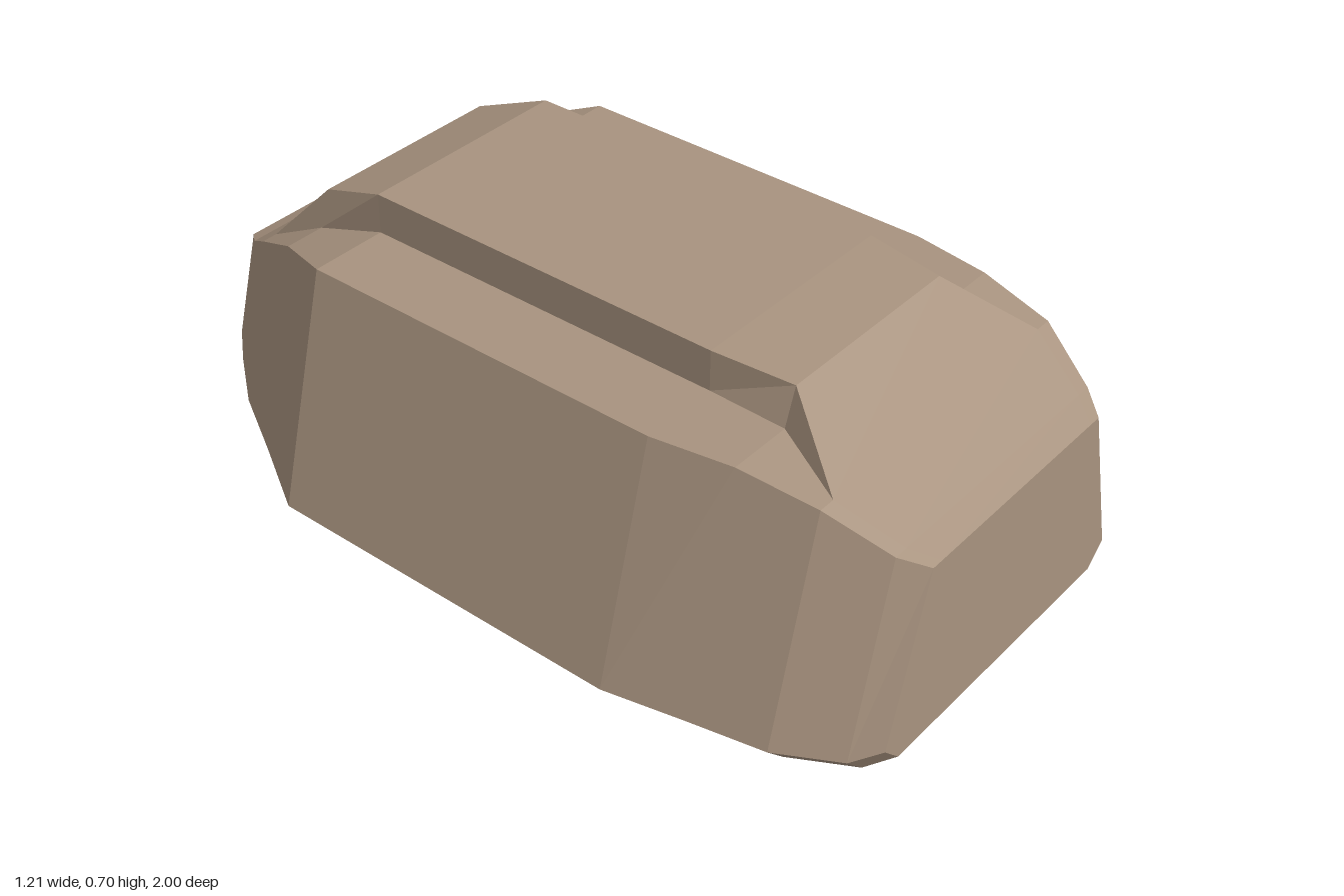
import * as THREE from 'three';

// Cross-sections from back to front, right half only:
// [z, floorX, floorY, sideX, sideY, shoulderX, deckY, spineBaseX, spineTopX, spineTopY]
const SECTIONS = [
  [-1.0, 0.19, 0.035, 0.24, 0.085, 0.17, 0.33, 0.12, 0.12, 0.33],
  [-0.945, 0.235, 0, 0.29, 0.055, 0.215, 0.355, 0.17, 0.17, 0.355],
  [-0.81, 0.34, 0, 0.395, 0.055, 0.30, 0.45, 0.26, 0.26, 0.45],
  [-0.635, 0.44, 0, 0.495, 0.055, 0.375, 0.545, 0.275, 0.245, 0.63],
  [-0.45, 0.55, 0, 0.605, 0.055, 0.46, 0.605, 0.27, 0.27, 0.70],
  [0.45, 0.55, 0, 0.605, 0.055, 0.46, 0.605, 0.27, 0.27, 0.70],
  [0.635, 0.51, 0, 0.565, 0.055, 0.43, 0.605, 0.275, 0.245, 0.69],
  [0.81, 0.475, 0, 0.53, 0.055, 0.40, 0.575, 0.36, 0.36, 0.575],
  [0.945, 0.40, 0, 0.455, 0.055, 0.345, 0.50, 0.31, 0.31, 0.50],
  [1.0, 0.36, 0.035, 0.41, 0.085, 0.30, 0.475, 0.27, 0.27, 0.475],
];

// Mirrors a half section into a closed ring, counter-clockwise seen from the front
function ring([z, fx, fy, sx, sy, hx, hy, bx, tx, ty]) {
  const half = [[fx, fy], [sx, sy], [hx, hy], [bx, hy], [tx, ty]];
  const mirrored = half.map(([x, y]) => [-x, y]).reverse();
  return [...half, ...mirrored].map(([x, y]) => [x, y, z]);
}

function loft(rings) {
  const n = rings[0].length;
  const index = [];
  for (let i = 0; i < rings.length - 1; i++) {
    for (let j = 0; j < n; j++) {
      const k = (j + 1) % n;
      const a = i * n + j, b = i * n + k, c = (i + 1) * n + k, d = (i + 1) * n + j;
      // Mirror the diagonal so both flanks match
      if (j < n / 2) index.push(a, b, c, a, c, d);
      else index.push(a, b, d, b, c, d);
    }
  }
  // End caps
  const last = (rings.length - 1) * n;
  for (let j = 1; j < n - 1; j++) {
    index.push(0, j + 1, j);
    index.push(last, last + j, last + j + 1);
  }
  const geometry = new THREE.BufferGeometry();
  geometry.setAttribute('position', new THREE.Float32BufferAttribute(rings.flat(2), 3));
  geometry.setIndex(index);
  const flat = geometry.toNonIndexed();
  flat.computeVertexNormals();
  return flat;
}

export function createModel() {
  const group = new THREE.Group();
  group.name = 'facetedHull';
  // Tapered body with chamfered floor, stepped deck and raised spine
  const body = new THREE.Mesh(
    loft(SECTIONS.map(ring)),
    new THREE.MeshStandardMaterial({ color: 0xa8937f, flatShading: true }),
  );
  body.name = 'body';
  group.add(body);
  return group;
}
